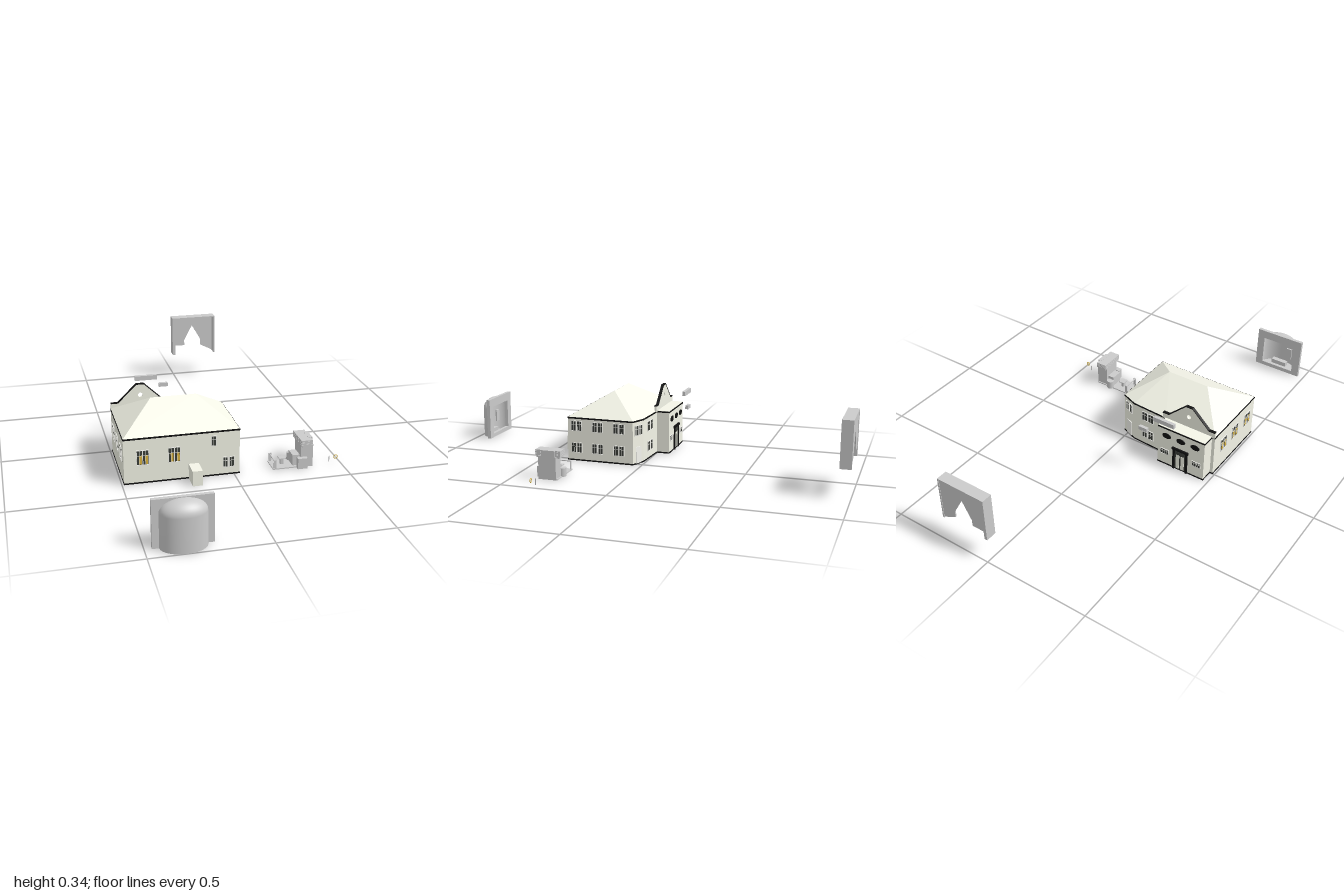
import * as THREE from 'three';

const mat = (color, extra = {}) => new THREE.MeshStandardMaterial({ color, ...extra });
const GREY = mat(0xcccccc), GREY2 = mat(0xcccccc, { side: THREE.DoubleSide });
const WALL = mat(0xf4f5e8), ROOF = mat(0xf4f5e8, { flatShading: true });
const BLACK = mat(0x111111), DARK = mat(0x3a3d38), WHITE = mat(0xf4f4ee), YELLOW = mat(0xd9b23c);

function add(parent, name, geo, material = GREY) {
  const m = new THREE.Mesh(geo, material);
  m.name = name;
  parent.add(m);
  return m;
}

// Box given by its min and max along each axis
function box(parent, name, [x0, x1], [y0, y1], [z0, z1], material) {
  const m = add(parent, name, new THREE.BoxGeometry(x1 - x0, y1 - y0, z1 - z0), material);
  m.position.set((x0 + x1) / 2, (y0 + y1) / 2, (z0 + z1) / 2);
  return m;
}

// Upright prism over a ground plan of [x, z] points
function prism(parent, name, plan, y0, y1, material) {
  const shape = new THREE.Shape(plan.map(([x, z]) => new THREE.Vector2(x, -z)));
  const geo = new THREE.ExtrudeGeometry(shape, { depth: y1 - y0, bevelEnabled: false });
  add(parent, name, geo.rotateX(-Math.PI / 2).translate(0, y0, 0), material);
}

// Plan grown slightly about its middle, for the black bands
const grow = (plan, cx, cz, d) => plan.map(([x, z]) => [x + Math.sign(x - cx) * d, z + Math.sign(z - cz) * d]);

function flat(parent, name, pts, z0, depth, hole, material) {
  const shape = new THREE.Shape(pts.map(([x, y]) => new THREE.Vector2(x, y)));
  if (hole) shape.holes.push(hole);
  const geo = new THREE.ExtrudeGeometry(shape, { depth, bevelEnabled: false });
  return add(parent, name, geo.translate(0, 0, z0), material);
}

// Window of one or more sashes, facing +z before it is turned
function windowUnit(parent, x, y, z, turn, { n = 2, w = 0.024, h = 0.048, gap = 0.005, lit = false } = {}) {
  const g = new THREE.Group();
  g.name = 'window';
  for (let i = 0; i < n; i++) {
    const cx = (i - (n - 1) / 2) * (w + gap), l = cx - w / 2, r = cx + w / 2;
    box(g, 'pane', [l, r], [-h / 2, h / 2], [-0.002, 0.001], DARK);
    if (lit) box(g, 'curtain', [cx - w * 0.1, r - 0.003], [-h / 2 + 0.003, h * 0.15], [-0.001, 0.0015], YELLOW);
    for (const s of [-1, 1]) {
      box(g, 'frameSide', [cx + s * w / 2 - 0.0015, cx + s * w / 2 + 0.0015], [-h / 2, h / 2], [0, 0.003], WHITE);
      box(g, 'frameRail', [l, r], [s * h / 2 - 0.0015, s * h / 2 + 0.0015], [0, 0.003], WHITE);
    }
    box(g, 'mullion', [cx - 0.001, cx + 0.001], [-h / 2, h / 2], [0, 0.002], WHITE);
    box(g, 'transom', [l, r], [h * 0.12, h * 0.12 + 0.002], [0, 0.002], WHITE);
  }
  g.position.set(x, y, z);
  g.rotation.y = turn;
  parent.add(g);
}

function house() {
  const g = new THREE.Group();
  g.name = 'house';
  const plan = [[-0.49, 0.37], [0.025, 0.37], [0.025, 0.04], [-0.05, 0.01], [-0.23, 0], [-0.49, 0]];
  const porch = [[-0.475, 0.01], [-0.23, 0.01], [-0.23, -0.063], [-0.475, -0.063]];
  for (const [name, p, cx, cz] of [['walls', plan, -0.23, 0.18], ['porchWalls', porch, -0.35, -0.03]]) {
    prism(g, name, p, 0, 0.213, WALL);
    const band = grow(p, cx, cz, 0.0015);
    prism(g, 'baseBand', band, 0.0005, 0.007, BLACK);
    prism(g, 'eavesBand', band, 0.207, 0.214, BLACK);
  }
  prism(g, 'porchRoof', porch, 0.213, 0.2155, WALL);

  // Hipped roof: each eave edge rises to the near end of the ridge
  const A = [-0.335, 0.323, 0.185], B = [-0.13, 0.323, 0.185];
  const e = plan.map(([x, z]) => [x, 0.2145, z]);
  const tris = [e[0], e[1], B, e[0], B, A, e[1], e[2], B, e[2], e[3], B, e[3], e[4], B, e[4], e[5], A, e[4], A, B, e[5], e[0], A];
  const roof = new THREE.BufferGeometry();
  roof.setAttribute('position', new THREE.Float32BufferAttribute(tris.flat(), 3));
  roof.computeVertexNormals();
  add(g, 'roof', roof, ROOF);

  // Shouldered gable with a round opening above the porch
  const eye = new THREE.Path().absarc(-0.352, 0.272, 0.011, 0, Math.PI * 2, true);
  const half = [[0.138, 0.21], [0.138, 0.24], [0.105, 0.24], [0.016, 0.325]];
  const gable = [...half.map(([x, y]) => [-0.352 + x, y]), ...half.slice().reverse().map(([x, y]) => [-0.352 - x, y])];
  flat(g, 'gable', gable, -0.002, 0.011, eye, WALL);
  for (const s of [-1, 1]) {
    const c = add(g, 'gableCoping', new THREE.BoxGeometry(0.125, 0.003, 0.014), BLACK);
    c.position.set(-0.352 + s * 0.0605, 0.2835, 0.0035);
    c.rotation.z = -s * Math.atan2(0.085, 0.089);
    const x = -0.352 + s * 0.1215;
    box(g, 'shoulderCoping', [x - 0.0165, x + 0.0165], [0.239, 0.242], [-0.004, 0.011], BLACK);
  }
  box(g, 'peakCoping', [-0.368, -0.336], [0.323, 0.3265], [-0.004, 0.011], BLACK);

  // Porch front: oval windows, side windows and the doorway
  for (const i of [-1, 0, 1]) {
    const o = add(g, 'ovalWindow', new THREE.CylinderGeometry(1, 1, 0.004, 24).rotateX(Math.PI / 2), BLACK);
    o.scale.set(0.023, 0.014, 1);
    o.position.set(-0.352 + i * 0.075, 0.17, -0.064);
    if (i) windowUnit(g, -0.352 + i * 0.085, 0.075, -0.0635, Math.PI, { w: 0.022, h: 0.028, gap: 0 });
  }
  box(g, 'doorPanel', [-0.382, -0.322], [0.005, 0.105], [-0.0645, -0.06], DARK);
  for (const s of [-1, 1]) {
    const x = -0.352 + s * 0.034;
    box(g, 'doorPost', [x - 0.005, x + 0.005], [0, 0.115], [-0.069, -0.06], BLACK);
    box(g, 'doorLeaf', [-0.352 + s * 0.013 - 0.009, -0.352 + s * 0.013 + 0.009], [0.008, 0.085], [-0.066, -0.06], WALL);
  }
  box(g, 'doorLintel', [-0.395, -0.309], [0.112, 0.124], [-0.071, -0.06], BLACK);

  // Front annexe
  box(g, 'frontAnnexe', [-0.205, -0.16], [0, 0.07], [0.365, 0.452], WALL);

  // Windows of the four sides and the cut corner
  const tall = { w: 0.026, h: 0.068, gap: 0.001, lit: true };
  for (const x of [-0.407, -0.268]) windowUnit(g, x, 0.122, 0.3705, 0, tall);
  windowUnit(g, -0.092, 0.168, 0.3705, 0, { n: 1, w: 0.022, h: 0.046 });
  windowUnit(g, -0.025, 0.062, 0.3705, 0, { w: 0.021, gap: 0.008 });
  for (const z of [0.085, 0.19, 0.305]) windowUnit(g, -0.4905, 0.128, z, -Math.PI / 2, tall);
  for (const z of [0.11, 0.218, 0.325])
    for (const y of [0.065, 0.172]) windowUnit(g, 0.0255, y, z, Math.PI / 2);
  for (const y of [0.065, 0.165]) windowUnit(g, -0.13, y, 0.0045, Math.PI - 0.055, { w: 0.03 });
  windowUnit(g, -0.0125, 0.165, 0.0245, Math.PI - 0.38);
  box(g, 'cornerDoor', [-0.019, 0.019], [0.005, 0.085], [-0.002, 0.002], WHITE).position.set(-0.0125, 0.045, 0.024);
  g.children[g.children.length - 1].rotation.y = -0.38;
  return g;
}

// Domed niche behind a slab with a rectangular opening
function alcove() {
  const g = new THREE.Group();
  g.name = 'alcove';
  const hole = new THREE.Path([[-0.432, 0.02], [-0.432, 0.165], [-0.262, 0.165], [-0.262, 0.02]].map(p => new THREE.Vector2(...p)));
  flat(g, 'alcoveSlab', [[-0.47, 0], [-0.225, 0], [-0.225, 0.207], [-0.47, 0.207]], 0.917, 0.017, hole, GREY);
  const profile = [new THREE.Vector2(0.095, 0)];
  for (let i = 0; i <= 10; i++) {
    const a = i / 10 * Math.PI / 2;
    profile.push(new THREE.Vector2(0.095 * Math.cos(a), 0.148 + 0.056 * Math.sin(a)));
  }
  const shell = add(g, 'dome', new THREE.LatheGeometry(profile, 28, -Math.PI / 2, Math.PI), GREY2);
  const floor = add(g, 'alcoveFloor', new THREE.CircleGeometry(0.095, 28, Math.PI, Math.PI).rotateX(-Math.PI / 2), GREY2);
  for (const m of [shell, floor]) {
    m.scale.z = 0.066 / 0.095;
    m.position.set(-0.347, m === floor ? 0.004 : 0, 0.934);
  }
  box(g, 'bench', [-0.38, -0.3], [0.004, 0.03], [0.95, 0.975]);
  box(g, 'innerPanel', [-0.405, -0.375], [0.06, 0.12], [0.955, 0.962]);
  return g;
}

// Box frame with parted curtains and a scalloped valance
function stage() {
  const g = new THREE.Group();
  g.name = 'curtainFrame';
  const z = [-0.997, -0.946];
  box(g, 'frameLeft', [0.225, 0.232], [0.13, 0.343], z);
  box(g, 'frameRight', [-0.01, 0.004], [0.13, 0.343], z);
  box(g, 'frameTop', [-0.01, 0.232], [0.337, 0.343], z);
  const under = add(g, 'frameUnderside', new THREE.PlaneGeometry(0.242, 0.051).rotateX(Math.PI / 2));
  under.position.set(0.111, 0.13, -0.9715);
  flat(g, 'curtains', [[0, 0.17], [0.065, 0.17], [0.065, 0.2], [0.11, 0.285], [0.158, 0.2], [0.158, 0.167], [0.228, 0.131], [0.228, 0.34], [0, 0.34]], -0.995, 0.006);
  const v = new THREE.Shape().moveTo(0.004, 0.338);
  v.lineTo(0.015, 0.295);
  for (let i = 0; i < 4; i++) v.quadraticCurveTo(0.015 + (i + 0.5) * 0.05, i % 3 ? 0.28 : 0.285, 0.015 + (i + 1) * 0.05, i === 3 ? 0.295 : 0.302);
  v.lineTo(0.225, 0.338);
  add(g, 'valance', new THREE.ExtrudeGeometry(v, { depth: 0.006, bevelEnabled: false }).translate(0, 0, -0.989));
  return g;
}

function kiosk() {
  const g = new THREE.Group();
  g.name = 'kiosk';
  box(g, 'deck', [0.18, 0.36], [0, 0.005], [0.285, 0.375]);
  box(g, 'tower', [0.308, 0.365], [0, 0.108], [0.29, 0.375]);
  box(g, 'towerBack', [0.345, 0.365], [0, 0.136], [0.295, 0.36]);
  for (let i = 0; i < 4; i++) box(g, 'awningSlat', [0.304, 0.357], [0.108 + i * 0.007, 0.114 + i * 0.007], [0.27, 0.392]);
  box(g, 'towerCore', [0.31, 0.355], [0.1, 0.135], [0.275, 0.387]);
  box(g, 'sideBlock', [0.29, 0.335], [0, 0.05], [0.37, 0.395]);
  box(g, 'counter', [0.275, 0.31], [0, 0.055], [0.3, 0.36]);
  const barrel = add(g, 'barrel', new THREE.CylinderGeometry(0.018, 0.018, 0.04, 20));
  barrel.position.set(0.287, 0.02, 0.29);
  box(g, 'tableTop', [0.218, 0.248], [0.033, 0.037], [0.31, 0.345]);
  box(g, 'tableLeg', [0.226, 0.24], [0.005, 0.034], [0.32, 0.335]);
  for (const z of [0.29, 0.37]) box(g, 'railPost', [0.184, 0.196], [0.005, 0.045], [z - 0.002, z + 0.002]);
  box(g, 'rail', [0.184, 0.188], [0.041, 0.045], [0.29, 0.37]);
  return g;
}

export function createModel() {
  const root = new THREE.Group();
  root.name = 'villaSet';
  root.add(house(), alcove(), stage(), kiosk());

  // Loose pieces
  box(root, 'looseBeam', [-0.355, -0.25], [0.293, 0.315], [-0.138, -0.123]);
  box(root, 'looseBlock', [-0.235, -0.192], [0.242, 0.26], [-0.17, -0.155]);
  box(root, 'stick', [0.452, 0.4535], [0, 0.03], [0.348, 0.352]);
  const ring = add(root, 'ring', new THREE.TorusGeometry(0.009, 0.0015, 8, 24), YELLOW);
  ring.position.set(0.48, 0.027, 0.36);
  const disc = add(root, 'ringFace', new THREE.CylinderGeometry(0.005, 0.005, 0.002, 16).rotateX(Math.PI / 2), WHITE);
  disc.position.copy(ring.position);
  return root;
}
